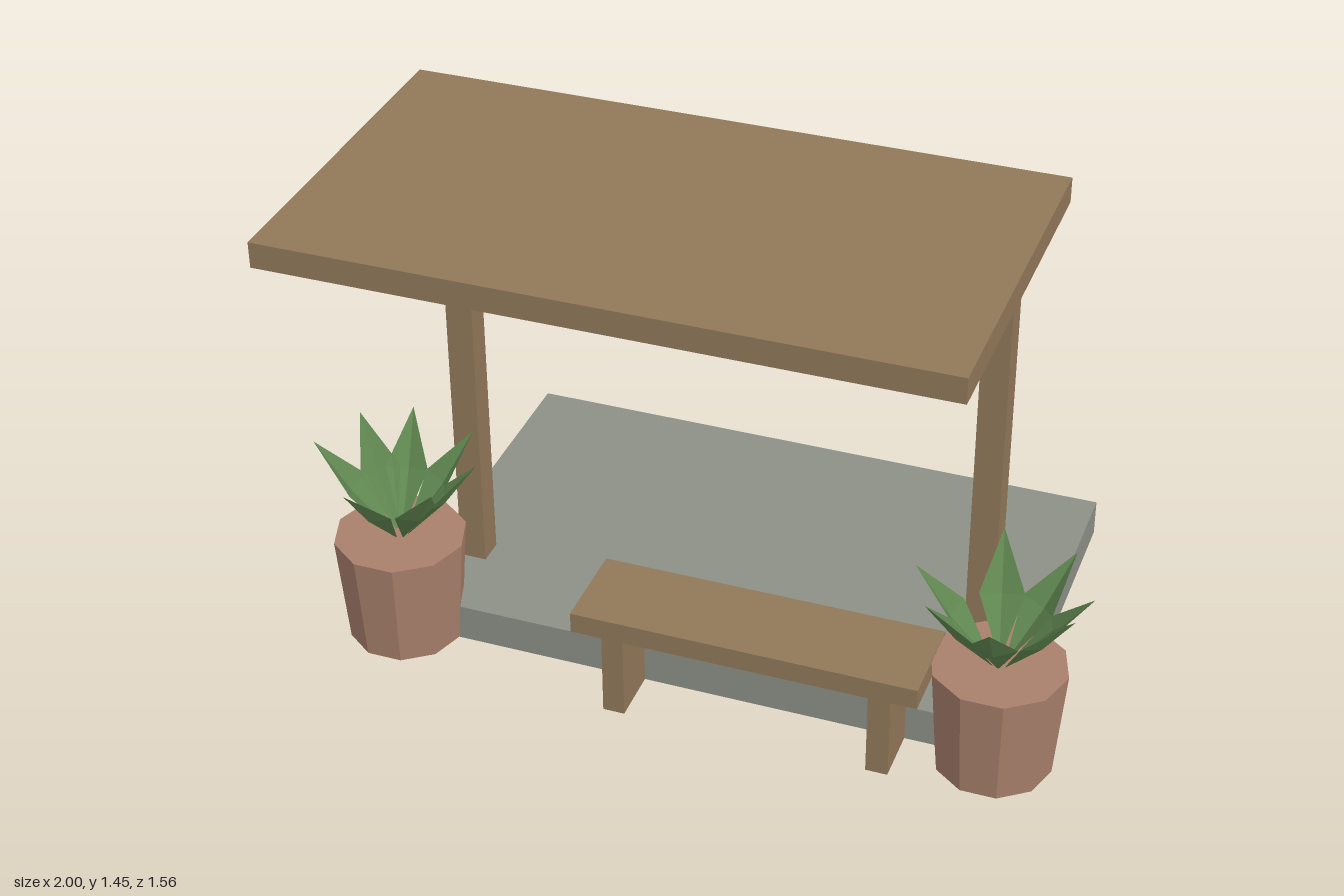
import * as THREE from 'three';

const mat = (color, extra = {}) =>
  new THREE.MeshStandardMaterial({ color, flatShading: true, ...extra });

export function createModel() {
  const model = new THREE.Group();
  model.name = 'shelter';
  const wood = mat(0x917859);
  const stone = mat(0x8c9086);
  const clay = mat(0xa9806c);
  const green = mat(0x5f8650, { side: THREE.DoubleSide });

  // Box given by its min and max corners
  const box = (name, material, [x0, y0, z0], [x1, y1, z1], parent = model) => {
    const mesh = new THREE.Mesh(new THREE.BoxGeometry(x1 - x0, y1 - y0, z1 - z0), material);
    mesh.position.set((x0 + x1) / 2, (y0 + y1) / 2, (z0 + z1) / 2);
    mesh.name = name;
    parent.add(mesh);
  };

  // Floor slab, posts and flat roof
  box('floorSlab', stone, [-0.803, 0, -0.78], [0.803, 0.1, 0.22]);
  box('roof', wood, [-0.803, 1.387, -0.1], [0.803, 1.45, 0.78]);
  for (const [side, x] of [['right', -0.685], ['left', 0.68]])
    box(side + 'Post', wood, [x - 0.035, 0, -0.058], [x + 0.035, 1.387, 0.012]);

  // Bench
  const bench = new THREE.Group();
  bench.name = 'bench';
  model.add(bench);
  box('seat', wood, [-0.25, 0.245, 0.15], [0.632, 0.3, 0.39], bench);
  for (const x of [-0.152, 0.532])
    box('benchLeg', wood, [x - 0.028, 0, 0.175], [x + 0.028, 0.245, 0.365], bench);

  // Pointed leaf folded along its midrib, growing outward along +x
  const leafGeometry = new THREE.BufferGeometry();
  leafGeometry.setAttribute('position', new THREE.Float32BufferAttribute([
    0.015, 0.29, 0,      // base
    0.105, 0.425, 0.055, // edge
    0.125, 0.41, 0,      // midrib
    0.105, 0.425, -0.055,
    0.215, 0.54, 0,      // tip
  ], 3));
  leafGeometry.setIndex([0, 1, 2, 0, 2, 3, 1, 4, 2, 2, 4, 3]);
  const leafFlat = leafGeometry.toNonIndexed();
  leafFlat.computeVertexNormals();

  // Ten-sided pots, each with a ring of uneven leaves (angles from +x towards +z)
  const pots = [
    ['right', -0.785, [175, 221, 258, 312, 355, 40, 100]],
    ['left', 0.785, [0, 27, -52, 85, 135, 178, 255]],
  ];
  for (const [side, x, angles] of pots) {
    const plant = new THREE.Group();
    plant.name = side + 'PottedPlant';
    plant.position.set(x, 0, 0.22);
    const pot = new THREE.Mesh(new THREE.CylinderGeometry(0.17, 0.147, 0.297, 10), clay);
    pot.name = 'pot';
    pot.position.y = 0.1485;
    pot.rotation.y = Math.PI / 2;
    plant.add(pot);
    for (const a of angles) {
      const leaf = new THREE.Mesh(leafFlat, green);
      leaf.name = 'leaf';
      leaf.rotation.y = -THREE.MathUtils.degToRad(a);
      plant.add(leaf);
    }
    model.add(plant);
  }
  return model;
}
